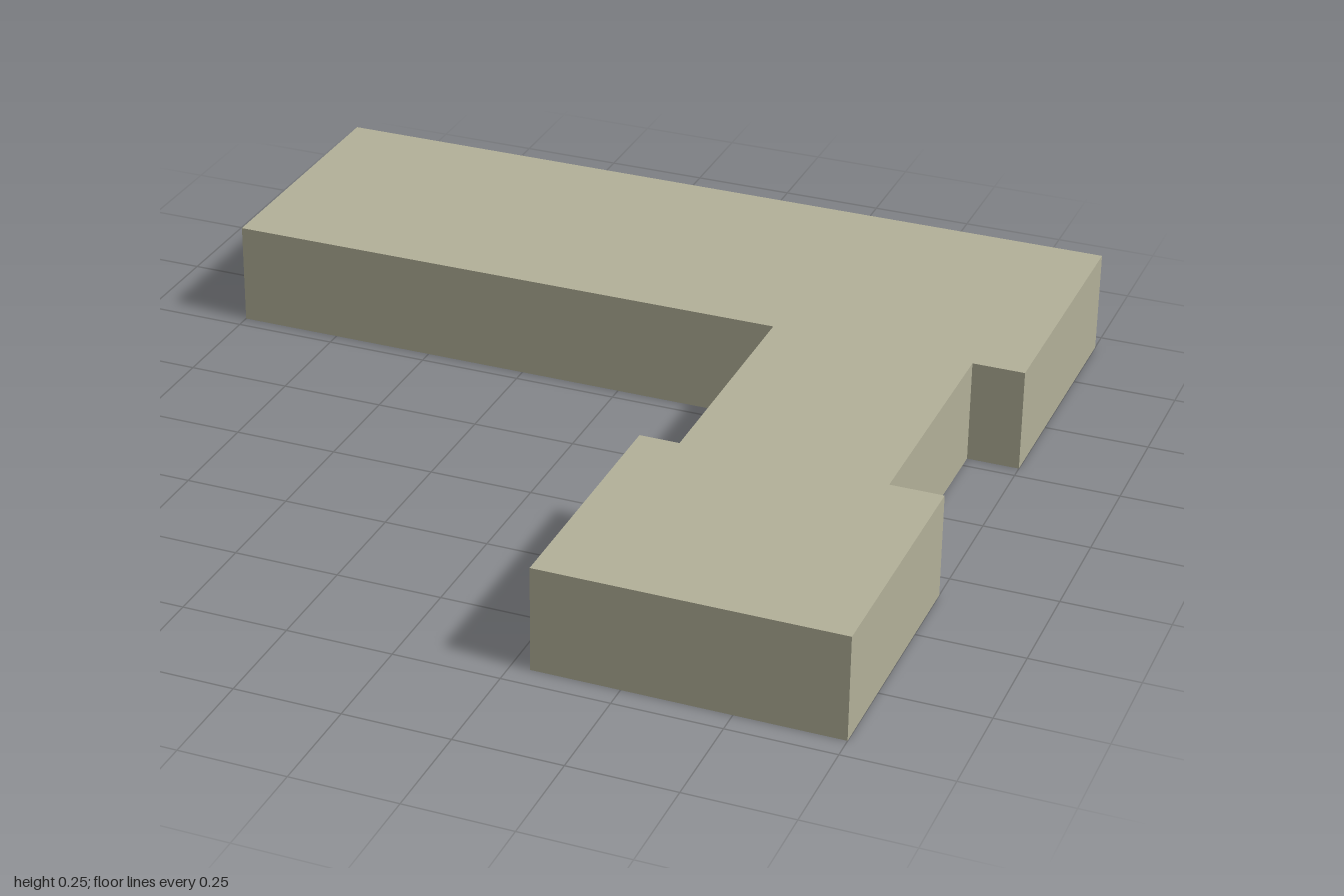
import * as THREE from 'three';

export function createModel() {
  const model = new THREE.Group();
  model.name = 'flatRoofedBlock';
  const material = new THREE.MeshStandardMaterial({ color: 0xb3b199, flatShading: true });

  // Footprint as [x, z] corners: long rear wing, narrower neck, front wing
  const footprint = [
    [-1, -0.945], [-1, -0.285], [0.39, -0.285], [0.39, 0.325],
    [0.295, 0.325], [0.295, 0.945], [1, 0.945], [1, 0.325],
    [0.875, 0.325], [0.875, -0.285], [1, -0.285], [1, -0.945],
  ];
  const shape = new THREE.Shape(footprint.map(([x, z]) => new THREE.Vector2(x, -z)));

  // Raise the footprint to one even height
  const geometry = new THREE.ExtrudeGeometry(shape, { depth: 0.25, bevelEnabled: false });
  geometry.rotateX(-Math.PI / 2);

  const body = new THREE.Mesh(geometry, material);
  body.name = 'buildingBody';
  model.add(body);
  return model;
}
